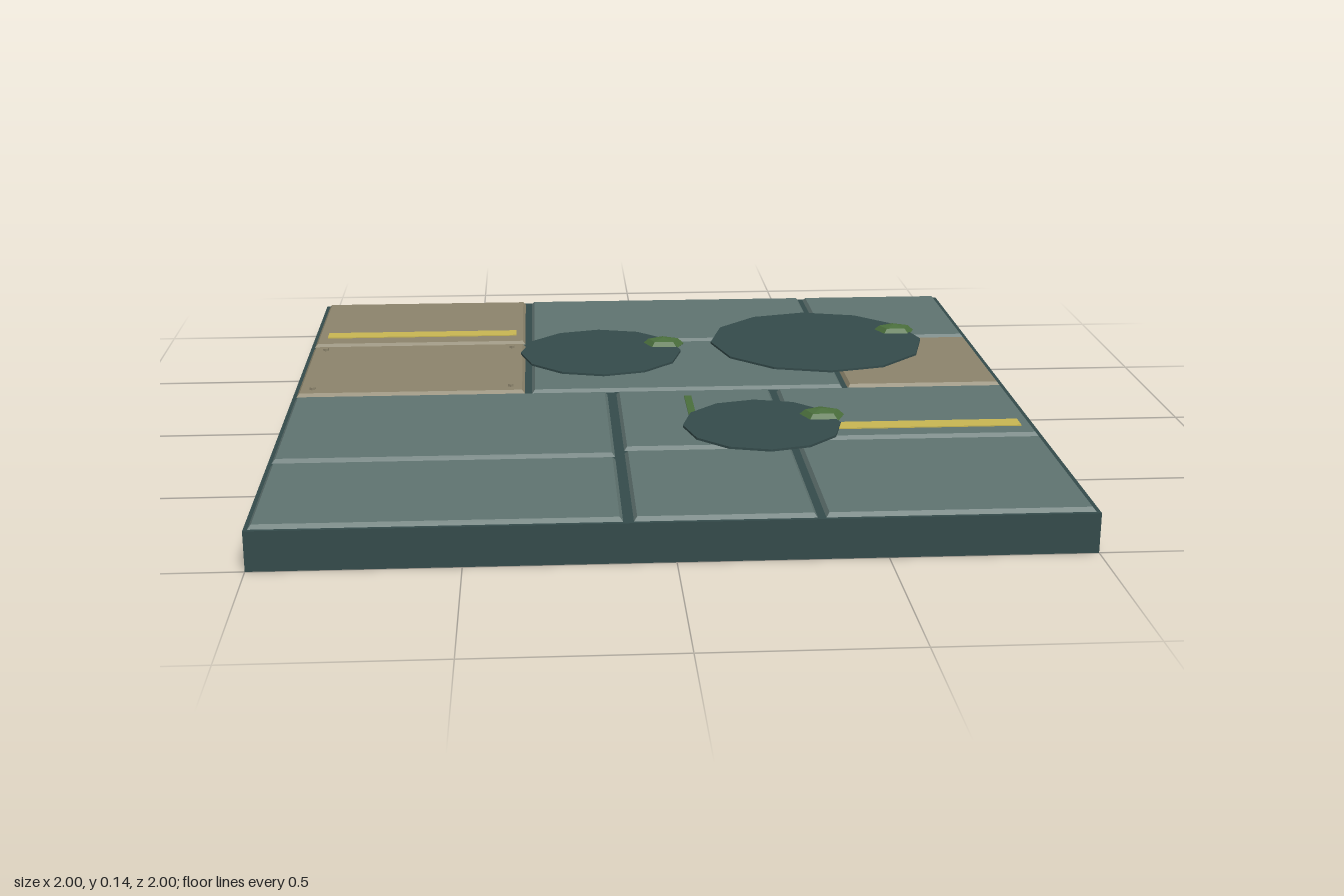
import * as THREE from 'three';

const mat = (name, color) => {
  const m = new THREE.MeshStandardMaterial({ color, flatShading: true });
  m.name = name;
  return m;
};

export function createModel() {
  const root = new THREE.Group();
  root.name = 'floorTile';
  const slate = mat('dark slate', 0x344b4b);
  const steel = mat('grey green panel', 0x5f7370);
  const tan = mat('tan panel', 0x8c846c);
  const yellow = mat('yellow paint', 0xc8b652);
  const moss = mat('moss green', 0x4a6e3c);

  const add = (name, geometry, material, x, y, z) => {
    const mesh = new THREE.Mesh(geometry, material);
    mesh.name = name;
    mesh.position.set(x, y, z);
    root.add(mesh);
    return mesh;
  };

  // Base slab
  const baseH = 0.1, panelTop = 0.11;
  add('baseSlab', new THREE.BoxGeometry(2, baseH, 2), slate, 0, baseH / 2, 0);

  // Plate with sloping edges, given by its outer bounds
  const addPanel = (x0, x1, z0, z1, material) => {
    const w = x1 - x0, d = z1 - z0, h = panelTop - baseH, bevel = 0.008;
    const g = new THREE.BoxGeometry(w, h, d);
    const p = g.attributes.position;
    for (let i = 0; i < p.count; i++) {
      if (p.getY(i) < 0) continue;
      p.setX(i, p.getX(i) - Math.sign(p.getX(i)) * bevel);
      p.setZ(i, p.getZ(i) - Math.sign(p.getZ(i)) * bevel);
    }
    g.computeVertexNormals();
    add('panel', g, material, (x0 + x1) / 2, baseH + h / 2, (z0 + z1) / 2);
  };

  // Columns of two panels: x range, z range, split line, back and front material
  const columns = [
    [-0.99, -0.355, -0.99, -0.015, -0.505, tan, tan],
    [-0.335, 0.54, -0.99, -0.015, -0.505, steel, steel],
    [0.555, 0.99, -0.99, -0.015, -0.505, steel, tan],
    [-0.99, -0.125, 0.005, 0.99, 0.545, steel, steel],
    [-0.1, 0.33, 0.005, 0.99, 0.5, steel, steel],
    [0.35, 0.99, 0.005, 0.99, 0.445, steel, steel],
  ];
  for (const [x0, x1, z0, z1, split, back, front] of columns) {
    addPanel(x0, x1, z0, split - 0.01, back);
    addPanel(x0, x1, split + 0.01, z1, front);
  }

  // Rivets in the corners of one tan panel
  for (const x of [-0.95, -0.395])
    for (const z of [-0.45, -0.06])
      add('rivet', new THREE.CylinderGeometry(0.009, 0.009, 0.007, 6), tan, x, panelTop + 0.0035, z);

  // Painted stripes and a strip of moss
  const stripe = new THREE.BoxGeometry(0.575, 0.003, 0.052);
  add('paintStripe', stripe, yellow, -0.67, panelTop + 0.0015, -0.607);
  add('paintStripe', stripe, yellow, 0.67, panelTop + 0.0015, 0.35);
  add('mossStrip', new THREE.BoxGeometry(0.02, 0.003, 0.35), moss, 0.095, panelTop + 0.0015, 0.245);

  // Dark puddles, each with a squashed clump of moss near its edge
  const clump = new THREE.SphereGeometry(1, 5, 4);
  clump.rotateY(-Math.PI / 2);
  clump.scale(0.066, 0.024, 0.05);
  for (const [x, z, r] of [[-0.13, -0.375, 0.238], [0.525, -0.457, 0.32], [0.272, 0.335, 0.21]]) {
    add('puddle', new THREE.CylinderGeometry(r, r, 0.006, 12), slate, x, panelTop + 0.003, z);
    add('mossClump', clump, moss, x + 0.8 * r, panelTop + 0.002, z - 0.3 * r);
  }

  return root;
}
